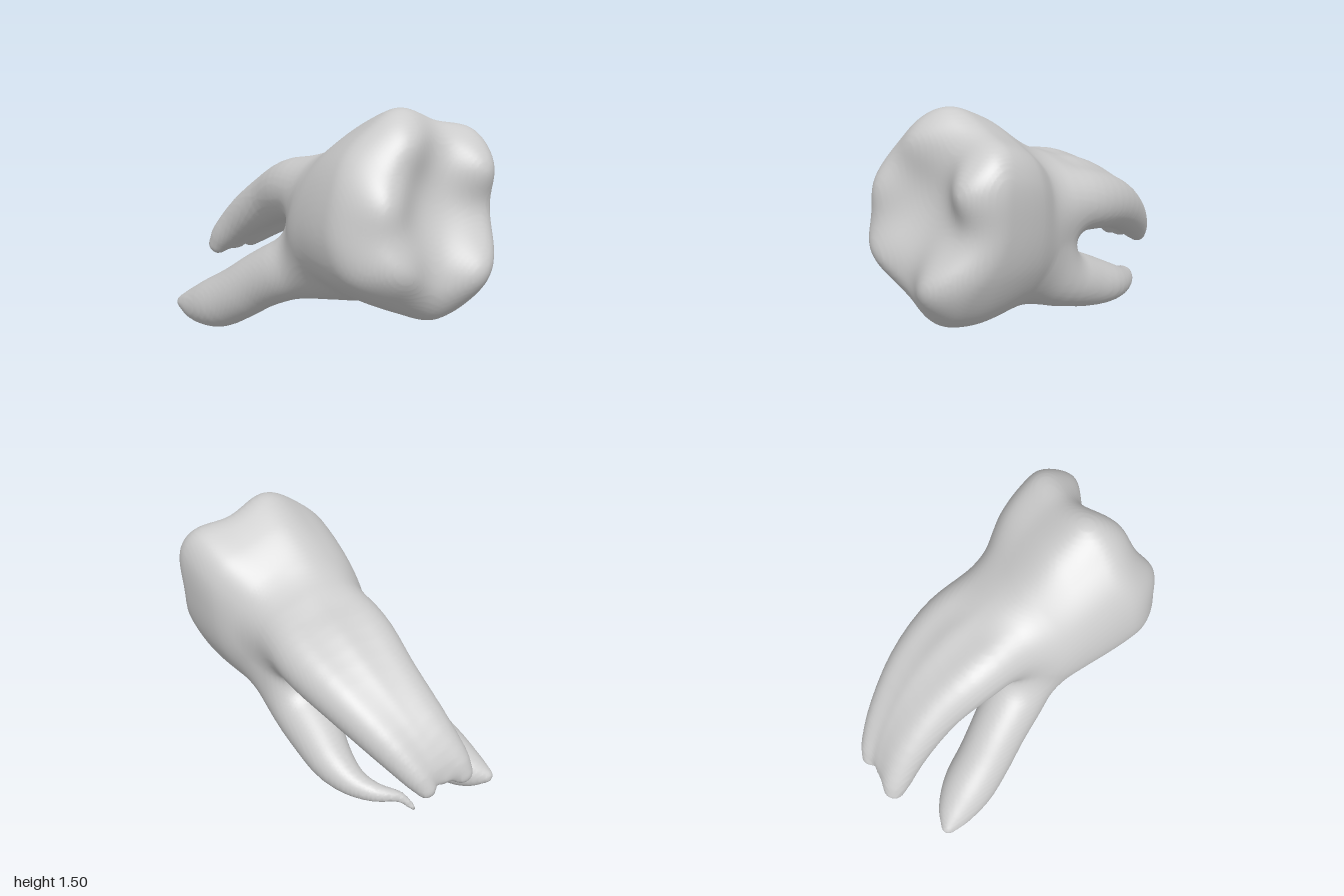
import * as THREE from 'three';

// Crown and neck sections along z: [z, xLeft, xRight, yBottom, yTop, outline strength]
const SECTIONS = [
  [-0.30, -0.14, 0.30, 0.38, 1.03, 0],
  [0.00, -0.25, 0.40, 0.29, 1.15, 0.1],
  [0.20, -0.34, 0.48, 0.32, 1.28, 0.4],
  [0.40, -0.37, 0.58, 0.36, 1.42, 0.8],
  [0.65, -0.38, 0.63, 0.36, 1.525, 1],
  [0.82, -0.365, 0.625, 0.395, 1.52, 1],
  [0.95, -0.33, 0.60, 0.47, 1.47, 1],
  [1.10, -0.25, 0.54, 0.57, 1.40, 1],
];

// Crown outline in a unit square, counter-clockwise
const OUTLINE = [
  [1, 0.11], [0.99, 0.54], [0.85, 0.75], [0.45, 0.86], [-0.05, 1], [-0.45, 0.82], [-0.75, 0.58],
  [-0.93, 0.25], [-1, -0.15], [-0.91, -0.45], [-0.65, -0.67], [-0.15, -0.9], [0.19, -1],
  [0.59, -0.85], [0.89, -0.41],
];

// Cusps on the chewing face: [x, y, height, spread]
const CUSPS = [
  [-0.12, 0.76, 0.15, 0.23], [0.41, 0.68, 0.165, 0.22], [-0.16, 1.1, 0.15, 0.19],
  [0.03, 1.37, 0.13, 0.2], [0.5, 1.2, 0.13, 0.18],
];

// Root centre lines: [x, y, z, radius]
const ROOTS = [
  // upper root: two lobes joined by a middle web
  [[0.22, 0.93, 0.3, 0.2], [0.25, 0.92, 0, 0.19], [0.25, 0.88, -0.2, 0.175], [0.19, 0.79, -0.46, 0.15],
    [0.08, 0.63, -0.72, 0.12], [0.0, 0.49, -0.88, 0.085], [-0.03, 0.42, -0.94, 0.055]],
  [[0.0, 0.95, 0.3, 0.2], [-0.05, 0.96, 0, 0.19], [-0.07, 0.93, -0.2, 0.18], [-0.09, 0.82, -0.46, 0.155],
    [-0.16, 0.65, -0.72, 0.125], [-0.24, 0.49, -0.88, 0.09], [-0.27, 0.42, -0.925, 0.065]],
  [[0.1, 0.95, 0.3, 0.2], [0.1, 0.95, 0, 0.19], [0.09, 0.93, -0.2, 0.17], [0.05, 0.825, -0.46, 0.145],
    [-0.04, 0.66, -0.71, 0.11], [-0.12, 0.51, -0.86, 0.08], [-0.15, 0.44, -0.9, 0.06]],
  // spreading lower root
  [[-0.08, 0.62, 0.2, 0.2], [-0.2, 0.52, 0, 0.185], [-0.3, 0.4, -0.2, 0.17], [-0.38, 0.28, -0.36, 0.165],
    [-0.45, 0.18, -0.52, 0.16], [-0.52, 0.13, -0.66, 0.115], [-0.59, 0.12, -0.77, 0.045]],
  // hooked lower root
  [[0.23, 0.6, 0.2, 0.18], [0.24, 0.46, 0, 0.17], [0.23, 0.37, -0.2, 0.155], [0.23, 0.3, -0.4, 0.12],
    [0.19, 0.255, -0.56, 0.08], [0.11, 0.235, -0.68, 0.052], [0.0, 0.21, -0.75, 0.03], [-0.06, 0.14, -0.81, 0.014]],
];

const smin = (a, b, k) => {
  const h = Math.max(k - Math.abs(a - b), 0) / k;
  return Math.min(a, b) - h * h * k * 0.25;
};
const smax = (a, b, k) => -smin(-a, -b, k);

// Smooth interpolation of the section table
function sectionAt(z) {
  const n = SECTIONS.length;
  let i = 0;
  while (i < n - 2 && z > SECTIONS[i + 1][0]) i++;
  const a = SECTIONS[i], b = SECTIONS[i + 1], p = SECTIONS[Math.max(i - 1, 0)], q = SECTIONS[Math.min(i + 2, n - 1)];
  const w = b[0] - a[0], t = THREE.MathUtils.clamp((z - a[0]) / w, 0, 1);
  return a.map((v, c) => {
    const m0 = (b[c] - p[c]) / (b[0] - p[0]) * w, m1 = (q[c] - v) / (q[0] - a[0]) * w;
    return v * (1 + 2 * t) * (1 - t) ** 2 + m0 * t * (1 - t) ** 2 + b[c] * t * t * (3 - 2 * t) + m1 * t * t * (t - 1);
  });
}

// Outline radius by angle, as a lookup
function outlineRadius() {
  const curve = new THREE.CatmullRomCurve3(OUTLINE.map(([x, y]) => new THREE.Vector3(x, y, 0)), true);
  const polar = curve.getPoints(400).slice(0, 400)
    .map((p) => [Math.atan2(p.y, p.x), Math.hypot(p.x, p.y)]).sort((a, b) => a[0] - b[0]);
  return (angle) => {
    let lo = 0, hi = polar.length - 1;
    if (angle <= polar[0][0] || angle >= polar[hi][0]) return polar[0][1];
    while (hi - lo > 1) {
      const mid = (lo + hi) >> 1;
      if (polar[mid][0] < angle) lo = mid; else hi = mid;
    }
    const [a, ra] = polar[lo], [b, rb] = polar[hi];
    return ra + (rb - ra) * (angle - a) / (b - a || 1);
  };
}

// Splits a root into short tapered segments along a smooth curve
function rootSegments(points) {
  const path = new THREE.CatmullRomCurve3(points.map((p) => new THREE.Vector3(p[0], p[1], p[2])));
  const size = new THREE.CatmullRomCurve3(points.map((p, i) => new THREE.Vector3(p[3], i * 0.15, 0)));
  const at = Array.from({ length: 21 }, (_, i) => [...path.getPoint(i / 20).toArray(), size.getPoint(i / 20).x]);
  return at.slice(1).map((b, i) => {
    const a = at[i], d = [b[0] - a[0], b[1] - a[1], b[2] - a[2]];
    return { a, d, dr: b[3] - a[3], inv: 1 / (d[0] ** 2 + d[1] ** 2 + d[2] ** 2) };
  });
}

// Distance to a chain of cones, leaning each nearest point along its taper
function rootDistance(segments, x, y, z) {
  let best = 9;
  for (const { a, d, dr, inv } of segments) {
    const px = x - a[0], py = y - a[1], pz = z - a[2];
    const along = px * d[0] + py * d[1] + pz * d[2];
    const across = Math.sqrt(Math.max(px * px + py * py + pz * pz - along * along * inv, 0));
    const t = Math.min(Math.max((along + across * dr) * inv, 0), 1);
    const ex = px - t * d[0], ey = py - t * d[1], ez = pz - t * d[2];
    best = Math.min(best, Math.sqrt(ex * ex + ey * ey + ez * ez) - a[3] - t * dr);
  }
  return best;
}

// Skins the zero level of a field with one vertex per crossed grid cell
function skinField(slice, min, max, step) {
  const [nx, ny, nz] = min.map((v, i) => Math.ceil((max[i] - v) / step) + 1);
  const f = new Float32Array(nx * ny * nz), cell = new Int32Array(nx * ny * nz).fill(-1);
  const stride = [1, nx, nx * ny];
  for (let k = 0, n = 0; k < nz; k++) {
    const field = slice(min[2] + k * step);
    for (let j = 0; j < ny; j++) for (let i = 0; i < nx; i++) f[n++] = field(min[0] + i * step, min[1] + j * step);
  }
  const position = [], index = [];
  for (let k = 0; k < nz - 1; k++) for (let j = 0; j < ny - 1; j++) for (let i = 0; i < nx - 1; i++) {
    const n = i + j * stride[1] + k * stride[2], sum = [0, 0, 0];
    let count = 0;
    for (let c = 0; c < 8; c++) for (let axis = 0; axis < 3; axis++) {
      if (c >> axis & 1) continue;
      const corner = [c & 1, c >> 1 & 1, c >> 2 & 1];
      const m = n + corner[0] + corner[1] * stride[1] + corner[2] * stride[2];
      const a = f[m], b = f[m + stride[axis]];
      if ((a < 0) === (b < 0)) continue;
      corner[axis] = a / (a - b);
      corner.forEach((v, q) => { sum[q] += v; });
      count++;
    }
    if (!count) continue;
    cell[n] = position.length / 3;
    position.push(...[i, j, k].map((v, q) => min[q] + (v + sum[q] / count) * step));
  }
  for (let n = stride[2] + stride[1] + 1; n < f.length - stride[2]; n++) for (let axis = 0; axis < 3; axis++) {
    const inside = f[n] < 0;
    if (inside === (f[n + stride[axis]] < 0)) continue;
    const u = stride[(axis + 1) % 3], v = stride[(axis + 2) % 3];
    const q = [cell[n - u - v], cell[n - v], cell[n], cell[n - u]];
    if (q.some((id) => id < 0)) continue;
    if (!inside) q.reverse();
    index.push(q[0], q[1], q[2], q[0], q[2], q[3]);
  }
  const geometry = new THREE.BufferGeometry();
  geometry.setAttribute('position', new THREE.Float32BufferAttribute(position, 3));
  geometry.setIndex(index);
  geometry.computeVertexNormals();
  return geometry;
}

export function createModel() {
  const radius = outlineRadius(), roots = ROOTS.map(rootSegments);

  // Crown with cusped face, neck, and roots blended into one smooth skin
  const slice = (z) => {
    const [, xl, xr, yb, yt, shape] = sectionAt(z);
    const cx = (xl + xr) / 2, cy = (yb + yt) / 2, hx = (xr - xl) / 2, hy = (yt - yb) / 2;
    return (x, y) => {
      const u = (x - cx) / hx, v = (y - cy) / hy;
      const r = 1 + (radius(Math.atan2(v, u)) - 1) * shape;
      let face = 0.85 - 0.25 * (y - 0.7);
      for (const [px, py, h, s] of CUSPS) face += h * Math.exp(-((x - px) ** 2 + (y - py) ** 2) / (s * s));
      let d = (Math.sqrt(u * u + v * v) / r - 1) * Math.min(hx, hy);
      d = smax(d, (z - face) * 0.9, 0.15);
      d = smax(d, -0.06 - z, 0.12);
      const [right, left, web, spread, hook] = roots.map((s) => rootDistance(s, x, y, z));
      const upper = smin(smin(right, left, 0.06), web, 0.06);
      return smin(smin(d, upper, 0.1), smin(spread, hook, 0.1), 0.1);
    };
  };
  const material = new THREE.MeshStandardMaterial({ color: 0xcccccc });
  material.name = 'pale grey';
  const tooth = new THREE.Mesh(skinField(slice, [-0.72, -0.08, -1.08], [0.72, 1.62, 1.1], 0.017), material);
  tooth.name = 'molarTooth';

  const model = new THREE.Group();
  model.name = 'molar';
  model.add(tooth);
  return model;
}
